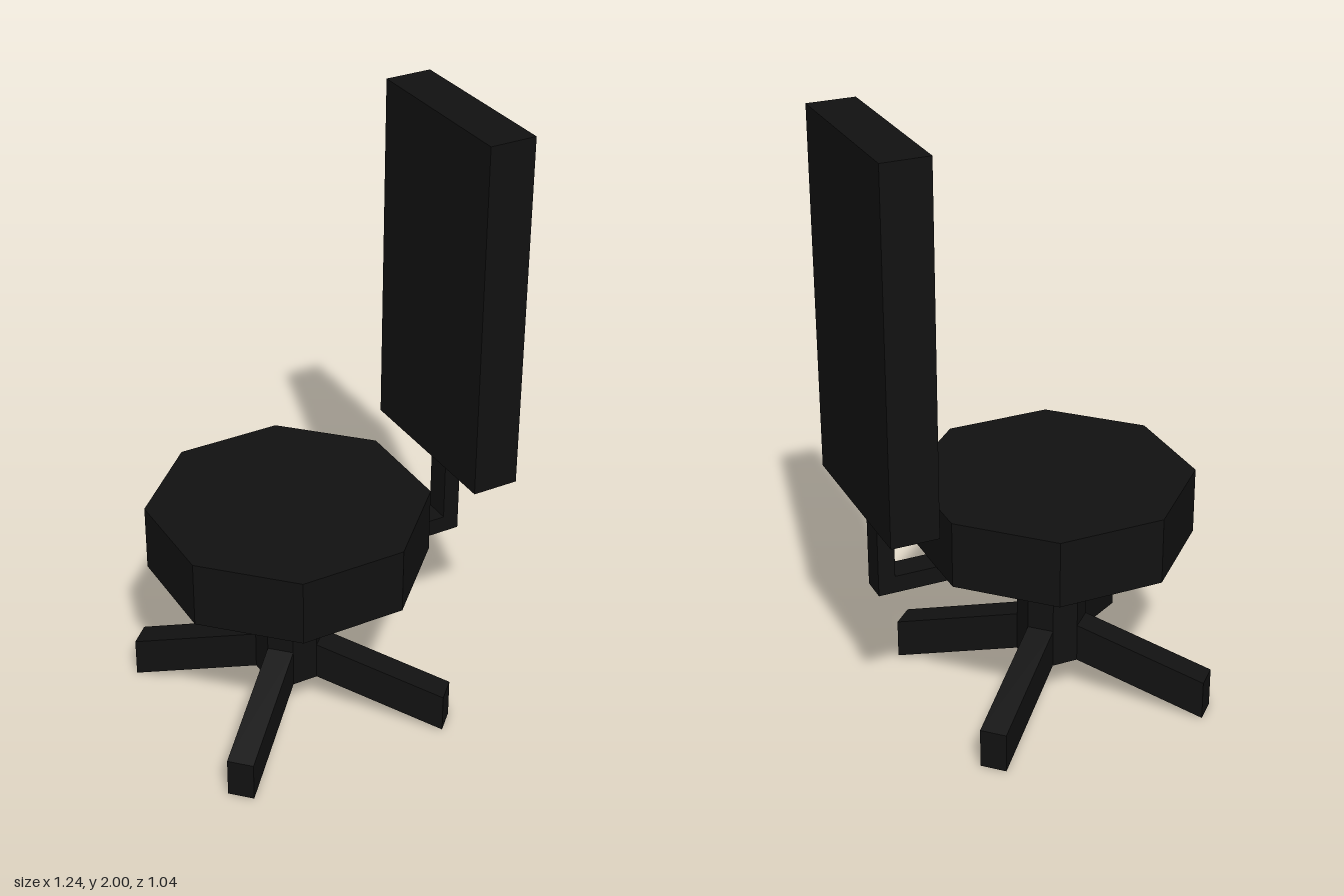
import * as THREE from 'three';

const material = new THREE.MeshStandardMaterial({ color: 0x111111, flatShading: true });
const EIGHTH = Math.PI / 8;
const BAR = 0.087; // width of legs and bracket, equal to one side of the post

function addMesh(parent, name, geometry) {
  const mesh = new THREE.Mesh(geometry, material);
  mesh.name = name;
  parent.add(mesh);
  return mesh;
}

// upright octagonal block between two heights
function octagon(parent, name, radius, y0, y1) {
  addMesh(parent, name, new THREE.CylinderGeometry(radius, radius, y1 - y0, 8)).position.y = (y0 + y1) / 2;
}

// side profile in (distance from post, height), extruded to a centred width
function profileBar(parent, name, points, width) {
  const shape = new THREE.Shape(points.map(([r, y]) => new THREE.Vector2(r, y)));
  const geometry = new THREE.ExtrudeGeometry(shape, { depth: width, bevelEnabled: false });
  geometry.translate(0, 0, -width / 2);
  return addMesh(parent, name, geometry);
}

export function createModel() {
  const model = new THREE.Group();
  model.name = 'officeChair';
  const chair = new THREE.Group();
  chair.name = 'chair';
  chair.position.set(-0.106, 0, 0.006);
  model.add(chair);

  // seat and central post
  octagon(chair, 'seat', 0.457, 0.56, 0.782);
  octagon(chair, 'post', 0.1137, 0.127, 0.56);

  // four sloping legs growing from every other face of the post
  for (let i = 0; i < 4; i++) {
    const leg = profileBar(chair, 'leg', [[0.105, 0.127], [0.536, 0], [0.536, 0.133], [0.105, 0.258]], BAR);
    leg.rotation.y = -EIGHTH + i * Math.PI / 2;
  }

  // backrest on an L-shaped bracket, turned to another face of the post
  const back = new THREE.Group();
  back.name = 'back';
  back.rotation.y = EIGHTH;
  chair.add(back);
  profileBar(back, 'bracket', [
    [0.105, 0.502], [0.616, 0.502], [0.616, 0.812], [0.56, 0.812], [0.56, 0.56], [0.105, 0.56],
  ], BAR);
  addMesh(back, 'backrest', new THREE.BoxGeometry(0.156, 1.188, 0.59)).position.set(0.588, 1.406, 0);

  return model;
}
